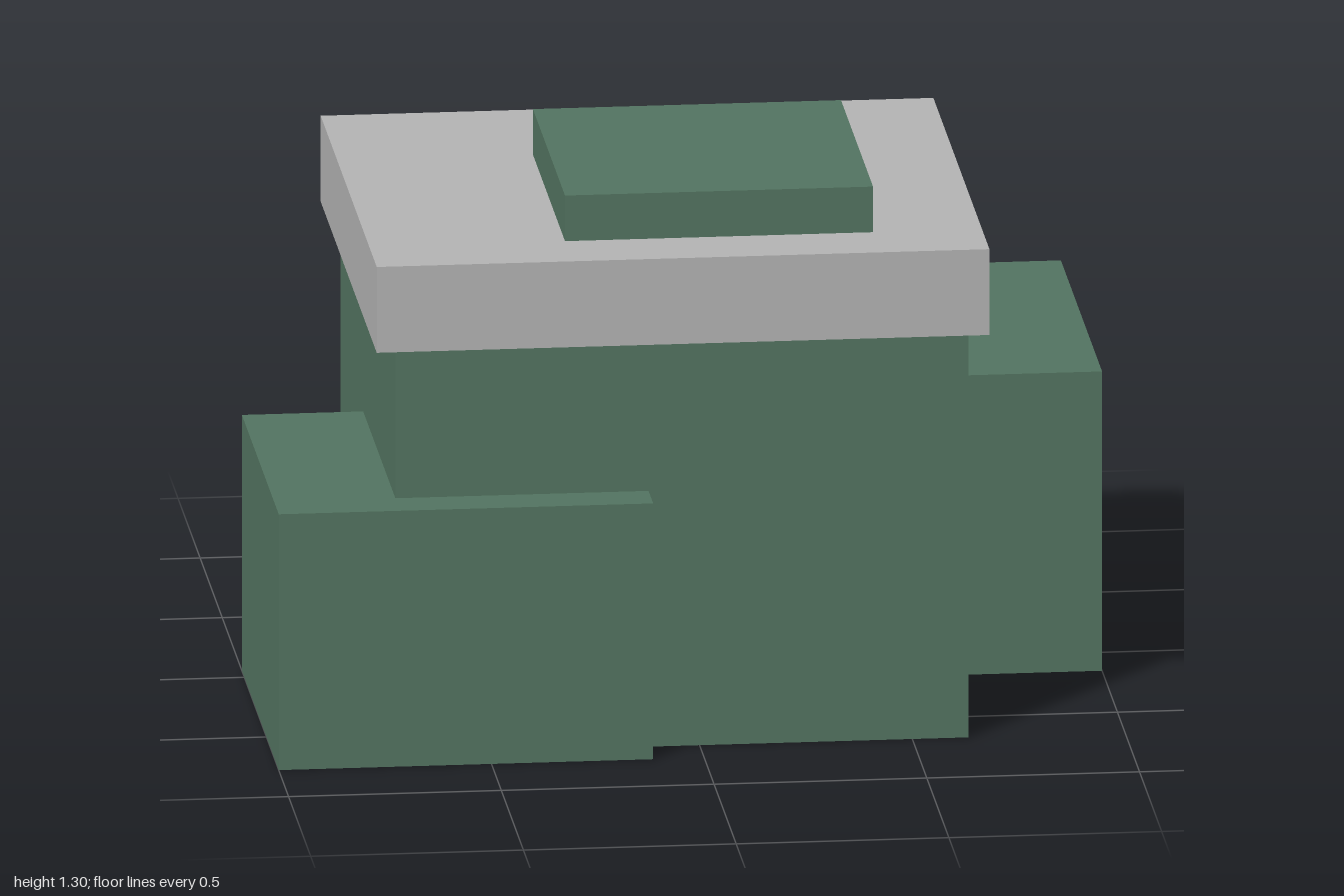
import * as THREE from 'three';

// Box from its limits; an open box has no floor, so its inside shows from below
function block(name, [x0, x1], [y0, y1], [z0, z1], material, open) {
  const geometry = new THREE.BoxGeometry(x1 - x0, y1 - y0, z1 - z0);
  if (open) {
    // Faces are ordered +x, -x, +y, -y, +z, -z with six indices each: drop -y
    const index = Array.from(geometry.index.array);
    index.splice(18, 6);
    geometry.setIndex(index);
    geometry.clearGroups();
  }
  const mesh = new THREE.Mesh(geometry, material);
  mesh.name = name;
  mesh.position.set((x0 + x1) / 2, (y0 + y1) / 2, (z0 + z1) / 2);
  return mesh;
}

export function createModel() {
  const green = new THREE.MeshStandardMaterial({ color: 0x527360, side: THREE.DoubleSide });
  green.name = 'green wall';
  const grey = new THREE.MeshStandardMaterial({ color: 0xb2b2b2, side: THREE.DoubleSide });
  grey.name = 'grey roof';

  const group = new THREE.Group();
  group.name = 'building';
  group.add(
    // Main hall and the two lower wings that run into it
    block('mainHall', [-0.715, 0.632], [0, 0.979], [-0.573, 0.673], green, true),
    block('frontWing', [-1, -0.12], [0, 0.623], [-0.055, 0.778], green, true),
    block('backWing', [0.062, 1], [0, 0.729], [-0.778, 0.153], green, true),
    // Overhanging roof slab with a low cap on top
    block('roofSlab', [-0.76, 0.68], [0.982, 1.191], [-0.583, 0.685], grey, false),
    block('roofCap', [-0.3, 0.424], [1.191, 1.302], [-0.209, 0.516], green, true)
  );
  return group;
}
